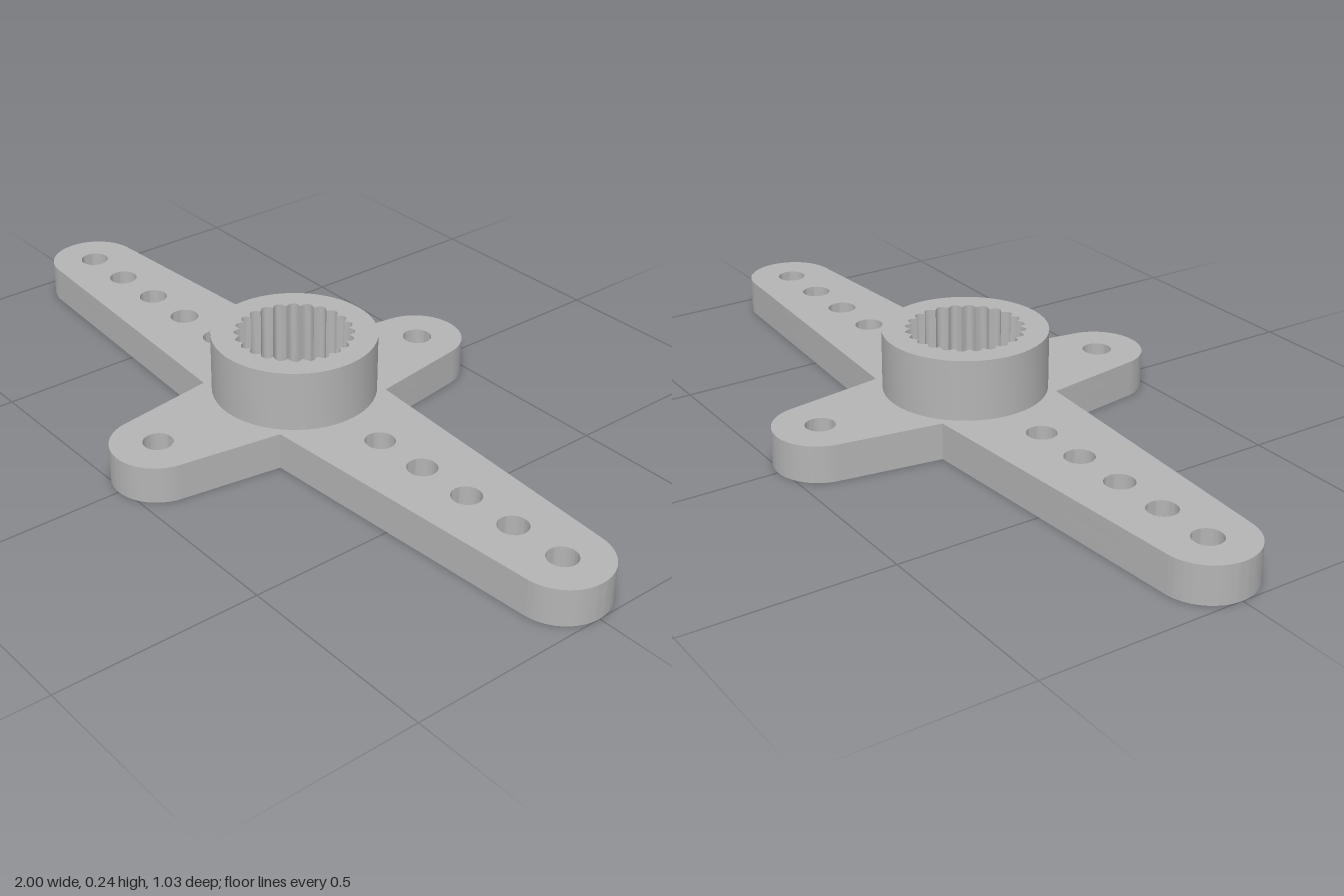
import * as THREE from 'three';
import { toCreasedNormals } from 'three/addons/utils/BufferGeometryUtils.js';

const PLATE = 0.092, HUB_TOP = 0.242, FLOOR = 0.05;
const TIP_R = 0.113, LONG = 1 - TIP_R, SHORT = 0.4;
const HOLE_R = 0.036, BORE_R = 0.074, HUB_R = 0.2, TEETH = 24;

const circle = (x, y, r) => new THREE.Path().absarc(x, y, r, 0, Math.PI * 2, true);

// Toothed socket outline
function splinePath() {
  const points = [], n = TEETH * 8;
  for (let i = 0; i < n; i++) {
    const a = (-i / n) * Math.PI * 2;
    const r = 0.131 + 0.014 * Math.abs(Math.sin((a * TEETH) / 2));
    points.push(new THREE.Vector2(r * Math.cos(a), r * Math.sin(a)));
  }
  return new THREE.Path(points);
}

// Four tapered arms with round tips, meeting in sharp inner corners
function crossShape(centreHole) {
  const s = new THREE.Shape(), rad = THREE.MathUtils.degToRad;
  const cx = 0.15, cy = 0.162, a = rad(86), b = rad(8.5);
  s.absarc(LONG, 0, TIP_R, -a, a, false);
  s.lineTo(cx, cy);
  s.absarc(0, SHORT, TIP_R, b, Math.PI - b, false);
  s.lineTo(-cx, cy);
  s.absarc(-LONG, 0, TIP_R, Math.PI - a, Math.PI + a, false);
  s.lineTo(-cx, -cy);
  s.absarc(0, -SHORT, TIP_R, Math.PI + b, Math.PI * 2 - b, false);
  s.lineTo(cx, -cy);
  s.closePath();

  // Screw holes along the arms
  for (const side of [-1, 1]) {
    for (let i = 0; i < 5; i++) s.holes.push(circle(side * (0.315 + i * 0.143), 0, HOLE_R));
    s.holes.push(circle(0, side * SHORT, HOLE_R));
  }
  s.holes.push(centreHole);
  return s;
}

export function createModel() {
  const group = new THREE.Group();
  const grey = new THREE.MeshStandardMaterial({ color: 0xb4b4b4 });
  grey.name = 'grey plastic';

  // Upright layer between two heights
  const addLayer = (name, shape, y0, y1) => {
    const g = new THREE.ExtrudeGeometry(shape, { depth: y1 - y0, bevelEnabled: false, curveSegments: 24 });
    g.rotateX(-Math.PI / 2);
    g.translate(0, y0, 0);
    const mesh = new THREE.Mesh(toCreasedNormals(g, Math.PI / 6), grey);
    mesh.name = name;
    group.add(mesh);
  };

  addLayer('lowerArmPlate', crossShape(circle(0, 0, BORE_R)), 0, FLOOR);
  addLayer('upperArmPlate', crossShape(splinePath()), FLOOR, PLATE);

  // Raised collar around the toothed socket
  const collar = new THREE.Shape().absarc(0, 0, HUB_R, 0, Math.PI * 2, false);
  collar.holes.push(splinePath());
  addLayer('splinedHub', collar, PLATE, HUB_TOP);

  return group;
}
